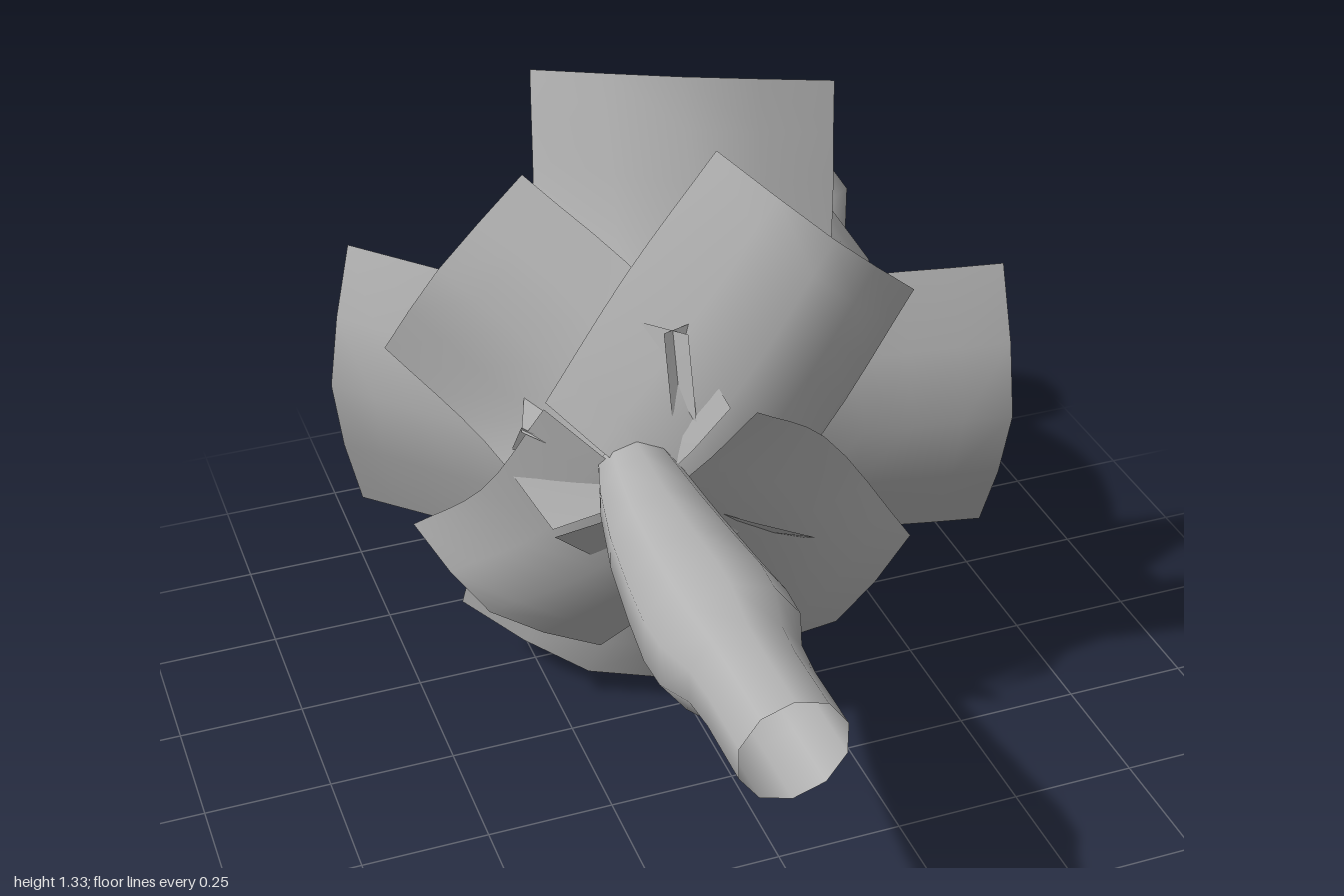
import * as THREE from 'three';

const grey = new THREE.MeshStandardMaterial({ color: 0xb3b3b3, side: THREE.DoubleSide });
const V = (x, y, z) => new THREE.Vector3(x, y, z);
const BASE = V(-0.17, 0.69, 0.22); // where the flower meets the stem
const SIN = 0.423, COS = 0.906; // flower axis turned about 25 degrees

function mesh(name, geometry) {
  const m = new THREE.Mesh(geometry, grey);
  m.name = name;
  return m;
}

// Profile given as [distance along axis, radius]
function lathe(name, profile, sides = 10) {
  return mesh(name, new THREE.LatheGeometry(profile.map(([s, r]) => new THREE.Vector2(r, s)), sides));
}

// Front-plane point at a given depth, in the flower's own frame
function local([x, y], s) {
  return V((x - BASE.x - SIN * s) / COS, s, y - BASE.y + 0.04 * s);
}

const middle = ([a, b]) => [(a[0] + b[0]) / 2, (a[1] + b[1]) / 2];

// Wide ribbon bent back along its length, its edges swept back from a raised midline
function petal({ name, root, waist, tip, depth }) {
  const sweep = [0.06, 0.09, 0.085];
  const stations = [
    [root[0], middle(root), root[1]],
    [waist[0], middle(waist), waist[1]],
    tip,
  ];
  const columns = [0, 1, 2].map(j => new THREE.CatmullRomCurve3(
    stations.map((row, k) => local(row[j], depth[k] + (j === 1 ? 0 : sweep[k])))));
  const rows = 8, cols = 4, pos = [], index = [];
  for (let r = 0; r <= rows; r++) {
    const across = new THREE.CatmullRomCurve3(columns.map(c => c.getPoint(r / rows)));
    for (let q = 0; q <= cols; q++) {
      pos.push(...across.getPoint(q / cols).toArray());
      if (r < rows && q < cols) {
        const i = r * (cols + 1) + q, n = i + cols + 1;
        index.push(i, n, i + 1, i + 1, n, n + 1);
      }
    }
  }
  const g = new THREE.BufferGeometry();
  g.setAttribute('position', new THREE.Float32BufferAttribute(pos, 3));
  g.setIndex(index);
  g.computeVertexNormals();
  return mesh(name, g);
}

const PETALS = [
  // large outer ring
  { name: 'topOuterPetal', root: [[-0.34, 0.75], [0.06, 0.62]], waist: [[-0.24, 1.0], [0.26, 0.95]], tip: [[-0.2, 1.3], [0.03, 1.335], [0.315, 1.3]], depth: [0.04, 0.255, 0.39] },
  { name: 'bottomOuterPetal', root: [[-0.34, 0.76], [0.16, 0.55]], waist: [[-0.35, 0.43], [0.16, 0.38]], tip: [[-0.38, 0.15], [-0.17, 0.055], [0.115, 0.0]], depth: [0.04, 0.22, 0.31] },
  { name: 'leftOuterPetal', root: [[-0.1, 0.97], [-0.1, 0.41]], waist: [[0.2, 0.97], [0.2, 0.41]], tip: [[0.59, 0.97], [0.585, 0.69], [0.58, 0.4]], depth: [0.04, 0.21, 0.33] },
  { name: 'rightOuterPetal', root: [[-0.06, 0.97], [-0.06, 0.41]], waist: [[-0.34, 0.96], [-0.34, 0.4]], tip: [[-0.55, 0.96], [-0.615, 0.7], [-0.555, 0.39]], depth: [0.04, 0.19, 0.315] },
  // diagonal inner ring
  { name: 'upperLeftInnerPetal', root: [[-0.31, 0.84], [0.0, 0.56]], waist: [[-0.13, 1.04], [0.2, 0.72]], tip: [[0.055, 1.235], [0.22, 1.11], [0.39, 0.97]], depth: [0, 0.1, 0.215] },
  { name: 'lowerLeftInnerPetal', root: [[0.04, 0.84], [-0.3, 0.55]], waist: [[0.2, 0.72], [-0.09, 0.36]], tip: [[0.4, 0.44], [0.24, 0.29], [0.075, 0.15]], depth: [0, 0.09, 0.2] },
  { name: 'upperRightInnerPetal', root: [[-0.3, 0.56], [0.0, 0.84]], waist: [[-0.38, 0.67], [-0.08, 1.0]], tip: [[-0.52, 0.8], [-0.44, 1.02], [-0.27, 1.175]], depth: [0.01, 0.1, 0.21] },
  { name: 'lowerRightInnerPetal', root: [[-0.31, 0.82], [0.02, 0.55]], waist: [[-0.39, 0.56], [-0.03, 0.36]], tip: [[-0.49, 0.41], [-0.38, 0.27], [-0.155, 0.14]], depth: [0.01, 0.1, 0.2] },
];

// Thin filament with a longer pod at its end
function stamen(tip) {
  const g = new THREE.Group();
  g.name = 'stamen';
  const root = V(tip.x * 0.3, 0.85, tip.z * 0.3);
  const bend = V(tip.x * 0.9, 1.08, tip.z * 0.9);
  const curve = new THREE.QuadraticBezierCurve3(root, bend, tip);
  g.add(mesh('filament', new THREE.TubeGeometry(curve, 8, 0.014, 6)));
  const pod = mesh('anther', new THREE.CapsuleGeometry(0.021, 0.05, 4, 8));
  pod.position.copy(tip).y -= 0.04;
  g.add(pod);
  return g;
}

export function createModel() {
  const model = new THREE.Group();
  model.name = 'flower';

  // Hollow stem running forward, its inner end leaning toward the bulb
  const stem = lathe('stem', [
    [0.0, 0.07], [0.1, 0.088], [0.25, 0.108], [0.4, 0.124], [0.51, 0.135],
    [0.58, 0.132], [0.65, 0.104], [0.72, 0.098], [0.86, 0.098],
  ]);
  const points = stem.geometry.attributes.position;
  for (let i = 0; i < points.count; i++) {
    const lean = Math.max(0, 1 - points.getY(i) / 0.4);
    points.setX(i, points.getX(i) + 0.03 * lean * lean);
  }
  stem.rotation.x = Math.PI / 2;
  stem.position.set(-0.19, 0.705, 0.14);
  model.add(stem);

  // Everything on the flower's tilted axis
  const bloom = new THREE.Group();
  bloom.name = 'bloom';
  const x = V(COS, 0, SIN), y = V(SIN, -0.04, -COS).normalize();
  bloom.quaternion.setFromRotationMatrix(new THREE.Matrix4().makeBasis(x, y, x.clone().cross(y)));
  bloom.position.copy(BASE);
  model.add(bloom);

  bloom.add(lathe('bulb', [
    [0.05, 0.03], [0.22, 0.12], [0.26, 0.18], [0.315, 0.255], [0.385, 0.33], [0.48, 0.39],
    [0.62, 0.425], [0.75, 0.41], [0.87, 0.365], [1.0, 0.29], [1.12, 0.225],
  ]));
  bloom.add(lathe('rim', [
    [1.09, 0.235], [1.1, 0.325], [1.125, 0.352], [1.2, 0.32], [1.225, 0.292],
    [1.21, 0.262], [1.12, 0.225],
  ]));
  bloom.add(lathe('cavity', [
    [1.12, 0.225], [1.0, 0.28], [0.87, 0.352], [0.75, 0.395], [0.62, 0.41], [0.48, 0.375], [0.385, 0.315], [0.3, 0.2], [0.26, 0],
  ]));

  // Parts inside the mouth
  const pistil = mesh('pistil', new THREE.SphereGeometry(0.06, 12, 8));
  pistil.position.set(0.02, 0.98, -0.02);
  bloom.add(pistil);
  for (const t of [[-0.145, 1.256, 0.08], [-0.01, 1.32, -0.14], [0.08, 1.27, 0.08], [0.04, 1.24, -0.04]]) {
    bloom.add(stamen(V(...t)));
  }

  for (const p of PETALS) bloom.add(petal(p));
  return model;
}
